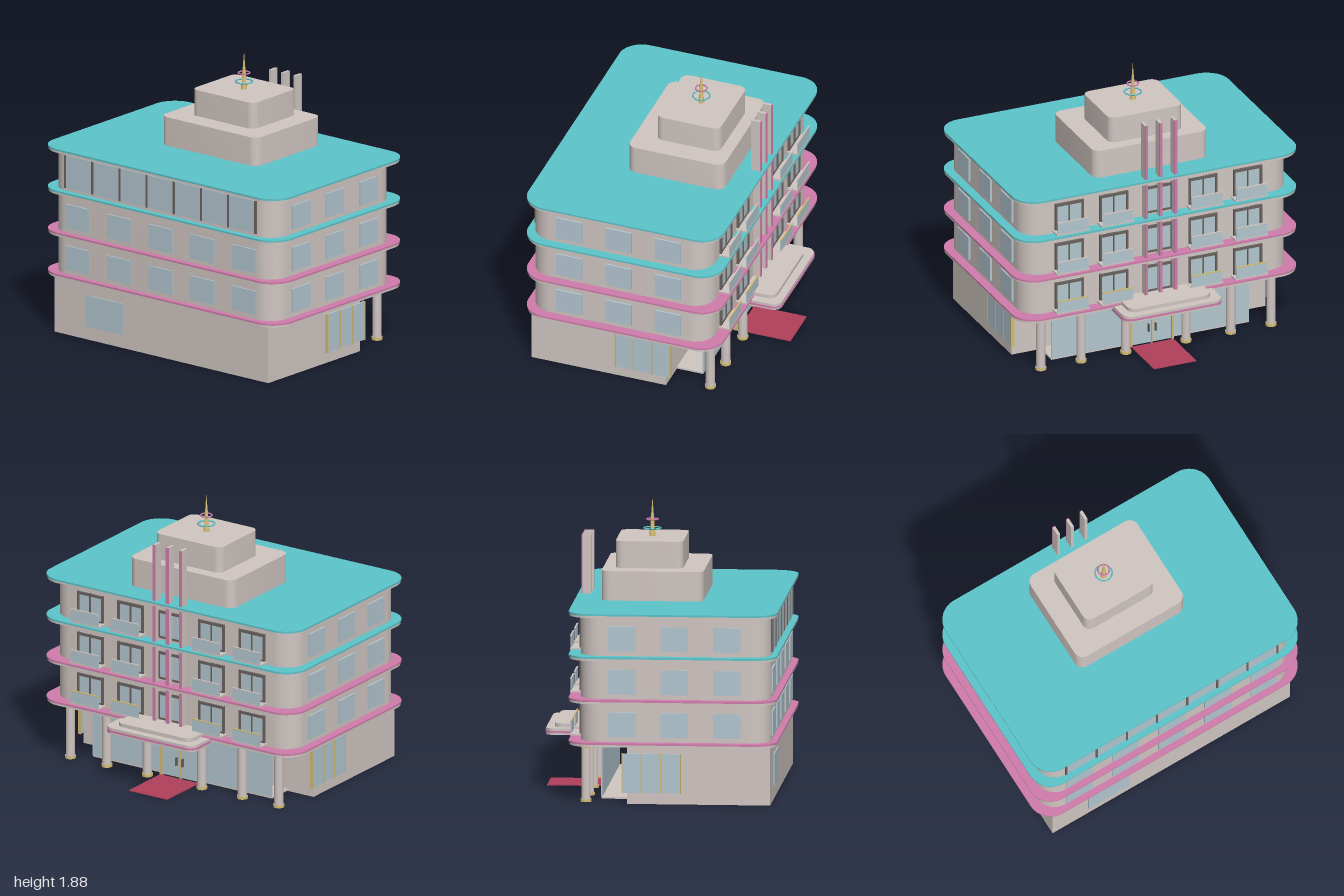
import * as THREE from 'three';
import { toCreasedNormals } from 'three/addons/utils/BufferGeometryUtils.js';

const mat = (name, color) => {
  const m = new THREE.MeshStandardMaterial({ color });
  m.name = name;
  return m;
};

export function createModel() {
  const model = new THREE.Group();
  model.name = 'decoHotel';

  const stucco = mat('stucco', 0xd0c6c2);
  const teal = mat('tealTrim', 0x5cc4ca);
  const pink = mat('pinkTrim', 0xd07cab);
  const glass = mat('windowGlass', 0xb3c6cf);
  const gold = mat('gold', 0xd2bb72);
  const dark = mat('darkFrame', 0x6b625e);
  const red = mat('carpetRed', 0xb0405c);

  const add = (name, geo, m) => {
    const mesh = new THREE.Mesh(geo, m);
    mesh.name = name;
    model.add(mesh);
    return mesh;
  };
  // Box given by its limits on each axis
  const box = (name, m, x0, x1, y0, y1, z0, z1) => {
    const g = new THREE.BoxGeometry(x1 - x0, y1 - y0, z1 - z0);
    g.translate((x0 + x1) / 2, (y0 + y1) / 2, (z0 + z1) / 2);
    return add(name, g, m);
  };
  // Horizontal slab with rounded corners, symmetric in z
  const slab = (name, m, x0, x1, hz, r, y0, y1) => {
    const s = new THREE.Shape();
    s.moveTo(x0 + r, -hz);
    s.lineTo(x1 - r, -hz);
    s.absarc(x1 - r, -hz + r, r, -Math.PI / 2, 0);
    s.lineTo(x1, hz - r);
    s.absarc(x1 - r, hz - r, r, 0, Math.PI / 2);
    s.lineTo(x0 + r, hz);
    s.absarc(x0 + r, hz - r, r, Math.PI / 2, Math.PI);
    s.lineTo(x0, -hz + r);
    s.absarc(x0 + r, -hz + r, r, Math.PI, Math.PI * 1.5);
    const g = new THREE.ExtrudeGeometry(s, { depth: y1 - y0, bevelEnabled: false, curveSegments: 10 });
    g.rotateX(-Math.PI / 2);
    g.translate(0, y0, 0);
    return add(name, toCreasedNormals(g, 0.6), m);
  };

  // Main masses
  box('groundFloor', stucco, -0.735, 0.193, 0, 0.39, -0.9, 0.9);
  slab('upperFloors', stucco, -0.735, 0.5, 0.94, 0.14, 0.39, 1.24);
  slab('towerLowerTier', stucco, -0.26, 0.402, 0.405, 0.06, 1.25, 1.445);
  slab('towerUpperTier', stucco, -0.117, 0.322, 0.26, 0.05, 1.445, 1.62);

  // Ledges with coloured trim on top
  [[0.41, pink], [0.69, pink], [0.972, teal], [1.253, teal]].forEach(([top, m]) => {
    slab('ledge', stucco, -0.772, 0.571, 0.996, 0.15, top - 0.027, top - 0.012);
    slab('ledgeTrim', m, -0.777, 0.576, 1, 0.154, top - 0.012, top);
  });

  // Upper floor windows
  [0.41, 0.69, 0.972].forEach((base, floor) => {
    const y0 = base + 0.032, y1 = base + 0.193;
    // End walls: three windows each
    for (const x of [-0.458, -0.117, 0.223]) for (const s of [1, -1])
      box('endWindow', glass, x - 0.089, x + 0.089, y0, y1, s * 0.945 - 0.007, s * 0.945 + 0.007);

    // Rear wall: single windows, with a continuous band on the top floor
    if (floor < 2) {
      for (let i = -2; i <= 2; i++)
        box('rearWindow', glass, -0.745, -0.733, y0, y1, i * 0.35 - 0.1, i * 0.35 + 0.1);
    } else {
      box('rearWindowBand', glass, -0.743, -0.733, base + 0.02, base + 0.24, -0.8, 0.8);
      for (let i = 0; i <= 7; i++) {
        const z = -0.8 + i * 1.6 / 7;
        box('rearMullion', dark, -0.748, -0.733, base + 0.02, base + 0.24, z - 0.007, z + 0.007);
      }
    }

    // Entrance wall: framed windows with balconies
    for (let i = -2; i <= 2; i++) {
      const z = i * 0.316, b = base + 0.022, t = base + 0.208;
      box('windowPane', glass, 0.495, 0.505, b, t, z - 0.095, z + 0.095);
      box('windowHead', dark, 0.495, 0.516, t - 0.018, t, z - 0.1, z + 0.1);
      box('windowSill', dark, 0.495, 0.512, b - 0.005, b + 0.008, z - 0.1, z + 0.1);
      for (const d of [-0.094, 0, 0.094]) {
        const w = d ? 0.007 : 0.004;
        box('windowPost', dark, 0.495, 0.514, b, t, z + d - w, z + d + w);
      }
      if (i === 0) continue;
      box('balconyFloor', stucco, 0.498, 0.575, base + 0.01, base + 0.021, z - 0.115, z + 0.115);
      box('balconyPanel', glass, 0.568, 0.574, base + 0.021, base + 0.097, z - 0.108, z + 0.108);
      box('balconyRail', floor === 0 ? gold : stucco, 0.566, 0.576, base + 0.097, base + 0.103, z - 0.108, z + 0.108);
    }
  });

  // Vertical fins above the entrance
  for (const z of [-0.103, 0, 0.103]) {
    box('fin', stucco, 0.488, 0.548, 0.41, 1.638, z - 0.01, z + 0.01);
    box('finFace', pink, 0.548, 0.554, 0.41, 1.638, z - 0.01, z + 0.01);
  }

  // Stepped entrance canopy
  slab('canopy', stucco, 0.4, 0.768, 0.347, 0.06, 0.36, 0.403);
  slab('canopyTrim', pink, 0.396, 0.773, 0.352, 0.064, 0.373, 0.387);
  slab('canopyTop', stucco, 0.42, 0.716, 0.29, 0.055, 0.403, 0.428);

  // Colonnade
  for (const z of [0.213, 0.53, 0.815]) for (const s of [1, -1]) {
    const round = (name, m, r, y0, y1) => {
      const g = new THREE.CylinderGeometry(r, r, y1 - y0, 24);
      add(name, g, m).position.set(0.467, (y0 + y1) / 2, s * z);
    };
    round('column', stucco, 0.03, 0.01, 0.384);
    round('columnBase', gold, 0.036, 0, 0.018);
    round('columnCapital', gold, 0.036, 0.356, 0.374);
  }

  // Storefront and entrance doors
  box('storefrontFloor', stucco, 0.193, 0.375, 0.002, 0.014, -0.7, 0.7);
  box('storefrontGlass', glass, 0.37, 0.38, 0.014, 0.34, -0.7, 0.7);
  for (const s of [1, -1]) {
    box('doorPost', gold, 0.38, 0.412, 0, 0.272, s * 0.147 - 0.008, s * 0.147 + 0.008);
    box('doorLeaf', glass, 0.385, 0.4, 0.008, 0.255, s * 0.071 - 0.068, s * 0.071 + 0.068);
    box('doorHandle', dark, 0.4, 0.42, 0.09, 0.145, s * 0.024 - 0.004, s * 0.024 + 0.004);
  }
  box('doorHead', gold, 0.38, 0.412, 0.255, 0.272, -0.155, 0.155);
  box('doorCentre', gold, 0.38, 0.406, 0, 0.255, -0.004, 0.004);
  box('carpet', red, 0.412, 0.773, 0, 0.006, -0.15, 0.15);

  // Ground floor side windows with gold mullions
  for (const s of [1, -1]) {
    box('shopWindow', glass, -0.152, 0.225, 0.073, 0.33, s * 0.905 - 0.008, s * 0.905 + 0.008);
    for (let i = 0; i < 4; i++) {
      const x = -0.152 + i * 0.1257;
      box('shopMullion', gold, x - 0.004, x + 0.004, 0.07, 0.333, s * 0.907 - 0.011, s * 0.907 + 0.011);
    }
  }
  box('rearGroundWindow', glass, -0.743, -0.733, 0.09, 0.3, -0.63, -0.32);

  // Roof mast with rings
  const profile = [[0, 1.62], [0.02, 1.62], [0.018, 1.65], [0.014, 1.66], [0.011, 1.75], [0.008, 1.77], [0, 1.876]]
    .map(([r, y]) => new THREE.Vector2(r, y));
  add('mast', toCreasedNormals(new THREE.LatheGeometry(profile, 16), 0.6), gold).position.x = 0.102;
  [[0.055, 1.67, teal], [0.037, 1.728, pink]].forEach(([r, y, m]) => {
    const g = new THREE.TorusGeometry(r, 0.005, 8, 32);
    g.rotateX(Math.PI / 2);
    add('mastRing', g, m).position.set(0.102, y, 0);
  });

  return model;
}
